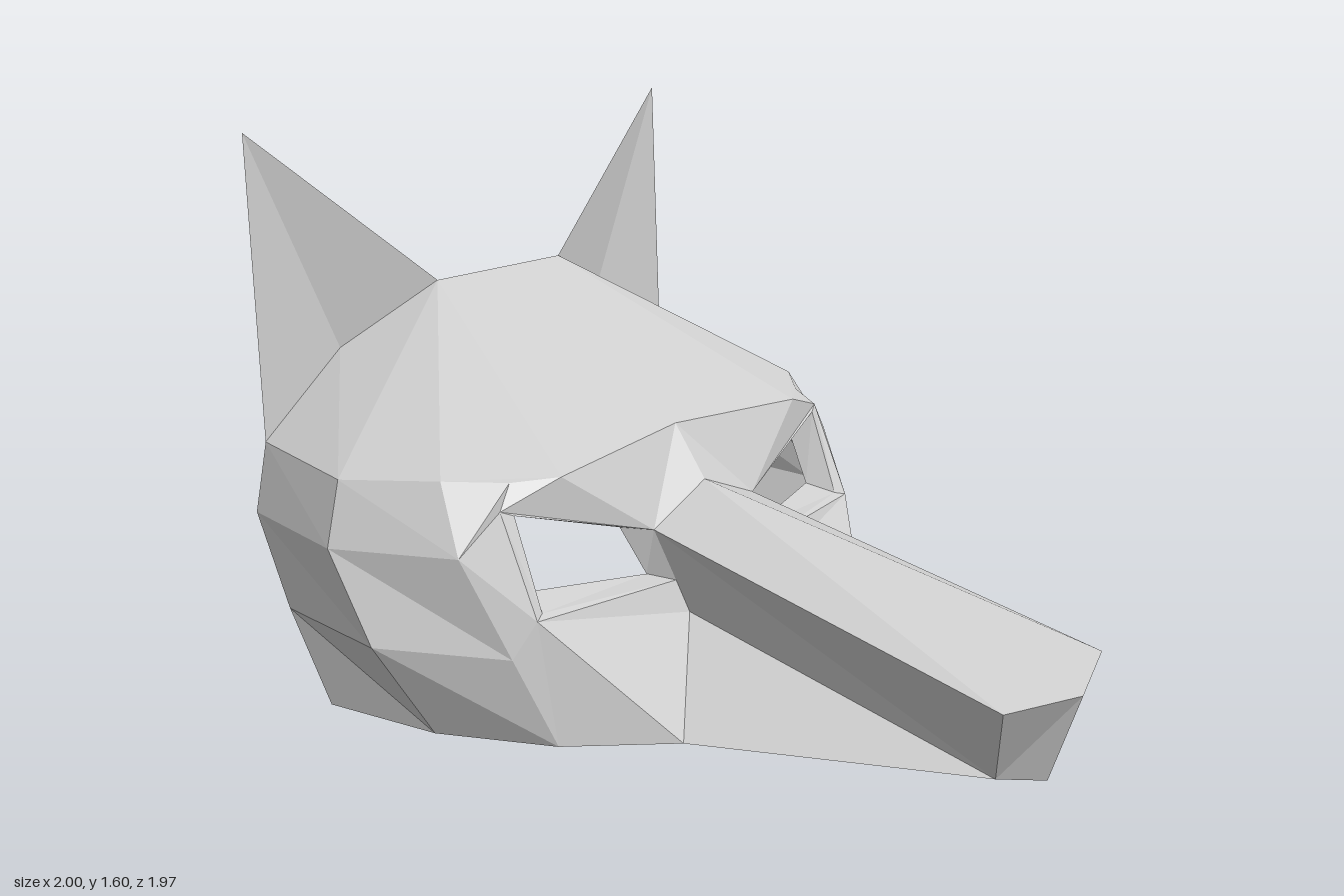
import * as THREE from 'three';

// Corner points of the left-hand half (z > 0); the other half is mirrored.
const P = {
  // crown and ear
  crown: [-0.905, 1.145, 0.26], earTip: [-1, 1.6, 0.85], earBase: [-1, 0.99, 0.55],
  // rear rim, top to bottom
  rear1: [-0.98, 0.79, 0.85], rear2: [-0.95, 0.62, 0.92], rear3: [-0.81, 0.39, 0.95], rear4: [-0.7, 0.14, 0.925],
  // side column
  side1: [-0.645, 0.755, 0.915], side2: [-0.62, 0.595, 0.985], side3: [-0.48, 0.36, 0.985], side4: [-0.395, 0.11, 0.86],
  // cheek column
  cheek1: [-0.42, 0.755, 0.78], cheek2: [-0.32, 0.58, 0.83], cheek3: [-0.195, 0.325, 0.78], cheek4: [-0.11, 0.09, 0.71],
  jaw: [0.09, 0.058, 0.45],
  // brow
  browMid: [-0.27, 0.77, 0], browIn: [-0.235, 0.74, 0.53], browOut: [-0.305, 0.74, 0.65],
  // eye opening: outer corners, bevel and inner edge
  eyeTop: [-0.28, 0.683, 0.716], eyeLow: [-0.165, 0.415, 0.716],
  bevelTop: [-0.265, 0.667, 0.68], bevelLow: [-0.18, 0.425, 0.68],
  inTop: [-0.33, 0.65, 0.626], inLow: [-0.25, 0.457, 0.626],
  inNoseTop: [-0.24, 0.545, 0.29], inNoseLow: [-0.19, 0.41, 0.24], eyeNose: [-0.12, 0.395, 0.2],
  // muzzle
  bridgeMid: [-0.17, 0.625, 0], bridge: [-0.17, 0.535, 0.23], muzzleBase: [-0.09, 0.305, 0.18],
  noseTip: [1, 0.25, 0], noseSide: [0.92, 0.27, 0.27], lip: [0.83, 0.03, 0.13], chin: [0.91, 0, 0],
};

// Faces of each part, as lists of three or four corner names.
const PARTS = {
  crown: ['crown browIn browMid', 'crown cheek1 browIn', 'crown side1 cheek1',
    'crown earBase side1', 'earBase rear1 side1'],
  ear: ['earTip crown earBase', 'earTip earBase rear1'],
  brow: ['browMid browIn bridge bridgeMid', 'browIn eyeTop bridge', 'browIn browOut eyeTop',
    'browIn cheek1 browOut', 'browOut cheek1 cheek2', 'browOut cheek2 eyeTop'],
  sideOfFace: [1, 2, 3].flatMap((i) => [
    `rear${i} rear${i + 1} side${i + 1} side${i}`,
    `side${i} side${i + 1} cheek${i + 1} cheek${i}`]),
  cheek: ['eyeTop cheek2 eyeLow', 'eyeLow cheek2 cheek3', 'eyeLow cheek3 cheek4',
    'eyeLow cheek4 jaw', 'eyeLow jaw muzzleBase', 'eyeLow muzzleBase eyeNose'],
  eyeSocket: ['eyeTop eyeLow bevelLow bevelTop', 'eyeTop bevelTop bridge', 'eyeLow eyeNose bevelLow',
    'bevelTop bevelLow inLow inTop', 'bevelTop inTop inNoseTop bridge',
    'bevelLow eyeNose inNoseLow inLow', 'bridge inNoseTop inNoseLow eyeNose'],
  muzzle: ['bridgeMid bridge noseSide noseTip', 'bridge muzzleBase lip noseSide', 'muzzleBase jaw lip'],
  nose: ['noseTip noseSide lip chin'],
};

const CENTRE = new THREE.Vector3(-0.7, 0.35, 0);

// Flat facets for one half (side = 1 or -1), each turned away from the centre.
function facets(faces, side) {
  const out = [];
  for (const face of faces) {
    const pts = face.split(' ').map((n) => new THREE.Vector3(P[n][0], P[n][1], P[n][2] * side));
    for (let i = 1; i + 1 < pts.length; i++) {
      let [a, b, c] = [pts[0], pts[i], pts[i + 1]];
      const n = b.clone().sub(a).cross(c.clone().sub(a));
      if (n.dot(a.clone().sub(CENTRE)) < 0) [b, c] = [c, b];
      out.push(a, b, c);
    }
  }
  const g = new THREE.BufferGeometry().setFromPoints(out);
  g.computeVertexNormals();
  return g;
}

export function createModel() {
  const model = new THREE.Group();
  model.name = 'animalMask';
  const grey = new THREE.MeshStandardMaterial({ color: 0xcccccc, side: THREE.DoubleSide, flatShading: true });
  grey.name = 'light grey';

  for (const [name, faces] of Object.entries(PARTS)) {
    const part = new THREE.Group();
    part.name = name;
    for (const side of [1, -1]) {
      const mesh = new THREE.Mesh(facets(faces, side), grey);
      mesh.name = name + (side > 0 ? 'Front' : 'Back');
      part.add(mesh);
    }
    model.add(part);
  }

  // middle panel of the forehead, joining both halves
  const panel = new THREE.BufferGeometry().setFromPoints([
    new THREE.Vector3(...P.crown), new THREE.Vector3(...P.browMid),
    new THREE.Vector3(P.crown[0], P.crown[1], -P.crown[2])]);
  panel.computeVertexNormals();
  const forehead = new THREE.Mesh(panel, grey);
  forehead.name = 'forehead';
  model.add(forehead);
  return model;
}
